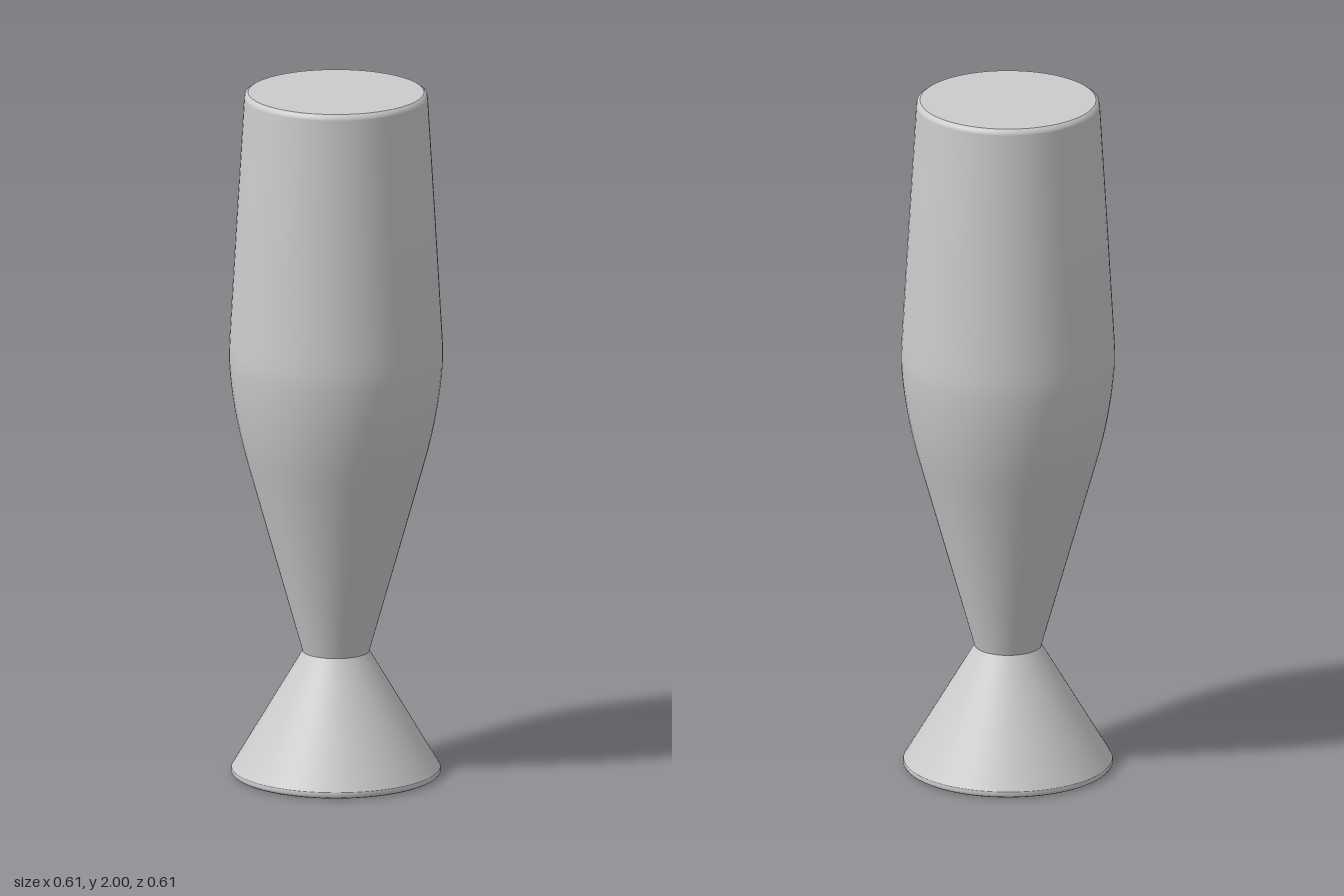
import * as THREE from 'three';

const SEGMENTS = 64;
const material = new THREE.MeshStandardMaterial({ color: 0xcccccc, side: THREE.DoubleSide });

// Revolve a profile of [radius, height] pairs, listed from bottom to top
function turned(name, profile) {
  const points = profile.map(([r, y]) => new THREE.Vector2(r, y));
  const mesh = new THREE.Mesh(new THREE.LatheGeometry(points, SEGMENTS), material);
  mesh.name = name;
  return mesh;
}

export function createModel() {
  const group = new THREE.Group();
  group.name = 'vase';

  // Belly between the straight lower cone and the straight upper taper
  const belly = new THREE.CubicBezierCurve(
    new THREE.Vector2(0.256, 0.93), new THREE.Vector2(0.284, 1.03),
    new THREE.Vector2(0.301, 1.14), new THREE.Vector2(0.304, 1.22)
  ).getPoints(10).map((p) => [p.x, p.y]);

  group.add(
    // Foot: flat underside, small rounded rim, flared cone up to the neck
    turned('footUnderside', [[0, 0], [0.287, 0]]),
    turned('footRim', [[0.287, 0], [0.295, 0.004], [0.299, 0.011], [0.297, 0.02]]),
    turned('footCone', [[0.297, 0.02], [0.095, 0.36]]),

    // Body: narrow neck widening to the belly, then tapering to the top
    turned('body', [[0.095, 0.36], [0.175, 0.642], [0.245, 0.89], ...belly,
      [0.304, 1.25], [0.302, 1.29], [0.283, 1.62], [0.261, 1.985]]),

    // Closed top with a softened edge
    turned('topRim', [[0.261, 1.985], [0.259, 1.994], [0.25, 2]]),
    turned('topCap', [[0.25, 2], [0, 2]])
  );
  return group;
}
